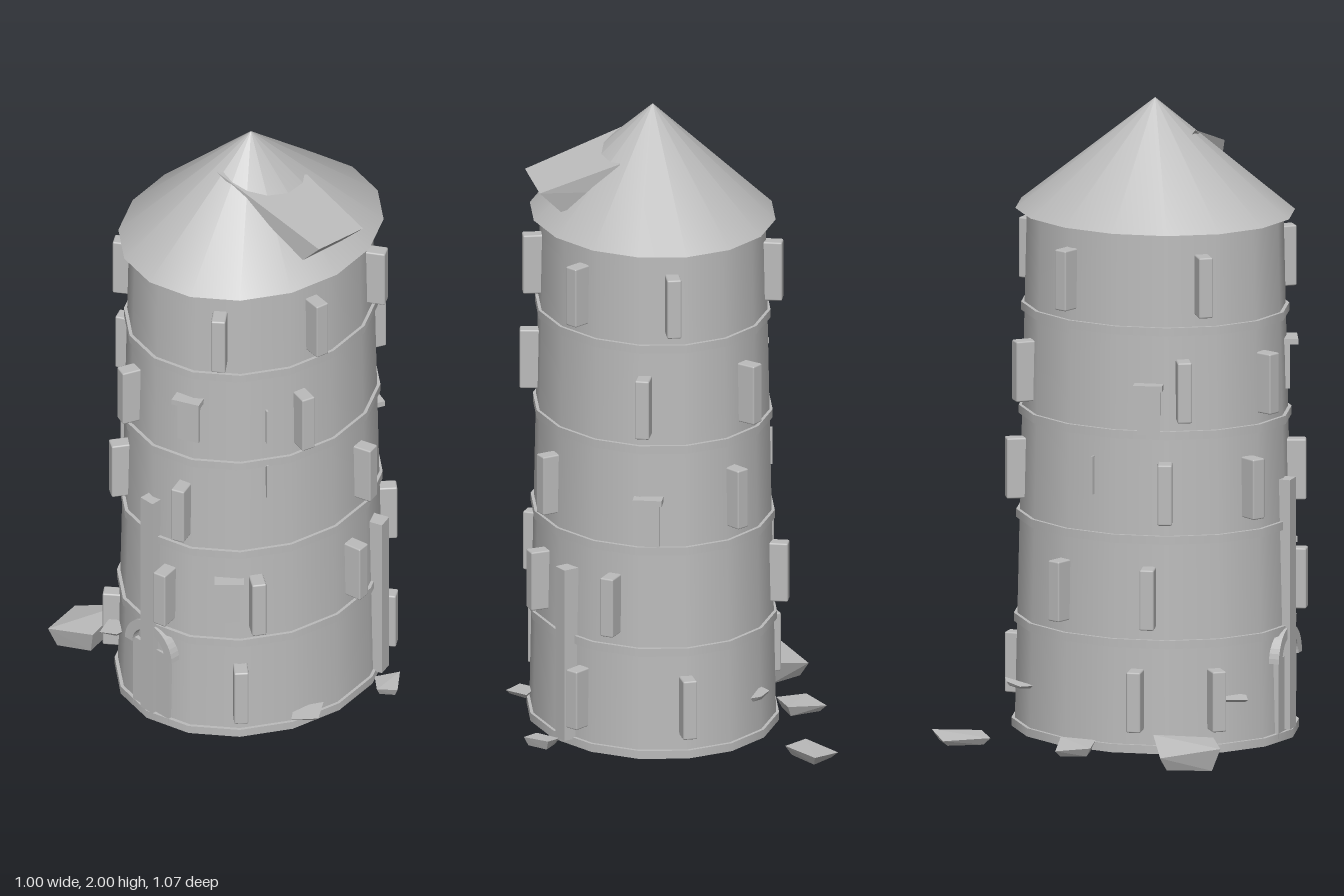
import * as THREE from 'three';
import { RoundedBoxGeometry } from 'three/addons/geometries/RoundedBoxGeometry.js';
import { ConvexGeometry } from 'three/addons/geometries/ConvexGeometry.js';

const CX = 0.047, CZ = 0.055, OVAL = 1.165, SIDES = 16;
const radiusAt = (y) => 0.378 - 0.02 * y;

export function createModel() {
  const model = new THREE.Group();
  model.name = 'ruinedTower';
  const stone = new THREE.MeshStandardMaterial({ color: 0xbbbbbb });
  stone.name = 'grey stone';

  const add = (name, geometry, x = 0, y = 0, z = 0) => {
    const mesh = new THREE.Mesh(geometry, stone);
    mesh.name = name;
    mesh.position.set(x, y, z);
    model.add(mesh);
    return mesh;
  };

  // Oval drum standing on y0
  const drum = (name, rTop, rBottom, y0, y1) => {
    const g = new THREE.CylinderGeometry(rTop, rBottom, y1 - y0, SIDES);
    g.scale(1, 1, OVAL);
    return add(name, g, CX, (y0 + y1) / 2, CZ);
  };

  // Puts a part on the wall; angle runs from +x (0) to +z (90)
  const onWall = (name, geometry, deg, y, out) => {
    const a = THREE.MathUtils.degToRad(deg), r = radiusAt(y) * 0.99;
    const n = new THREE.Vector3(Math.cos(a) * OVAL, 0, Math.sin(a)).normalize();
    const mesh = add(name, geometry,
      CX + r * Math.cos(a) + n.x * out, y, CZ + r * OVAL * Math.sin(a) + n.z * out);
    mesh.rotation.y = Math.atan2(n.x, n.z);
    return mesh;
  };

  const hull = (name, points) => {
    const g = new ConvexGeometry(points.map((p) => new THREE.Vector3(...p)));
    return add(name, g);
  };

  // Storeys with a ledge below each
  const levels = [0.02, 0.35, 0.677, 1.005, 1.33, 1.65];
  for (let i = 0; i < 5; i++) {
    const y0 = levels[i], y1 = levels[i + 1];
    drum('storeyWall', radiusAt(y1), radiusAt(y0), y0, y1);
    const r = radiusAt(y0) + 0.009;
    drum('ledge', r, r, y0, y0 + 0.026);
  }

  // Roof
  drum('roofCone', 0.0005, 0.376, 1.65, 2.0);
  hull('brokenRoofSlab', [
    [0.035, 1.91, 0.192], [0.43, 1.79, 0.14], [0.43, 1.775, -0.05], [0.18, 1.85, -0.055],
    [0.03, 1.895, 0.18], [0.37, 1.725, 0.15], [0.36, 1.705, -0.04], [0.18, 1.76, -0.05],
  ]);

  // Projecting blocks, by storey
  const blocks = [
    [0.188, [45, 137, 170, 270, 321]],
    [0.51, [38, 80, 165, 204, 305, 350]],
    [0.84, [72, 118, 158, 244, 342]],
    [1.16, [17, 108, 150, 234, 290]],
    [1.487, [10, 55, 141, 203, 276, 324]],
  ];
  const blockShape = new RoundedBoxGeometry(0.045, 0.19, 0.07, 1, 0.005);
  for (const [y, angles] of blocks) {
    for (const deg of angles) onWall('wallBlock', blockShape, deg, y, 0.019);
  }

  // Windows with lintels
  const windows = [[50, 0.51], [70, 1.165], [288, 0.775], [165, 1.09]];
  for (const [deg, y] of windows) {
    onWall('windowPanel', new THREE.BoxGeometry(0.07, 0.14, 0.02), deg, y, 0);
    onWall('windowLintel', new THREE.BoxGeometry(0.09, 0.018, 0.05), deg, y + 0.08, 0.012);
  }
  for (const [deg, y, h] of [[33, 1.15, 0.12], [33, 0.95, 0.12], [190, 0.88, 0.12]]) {
    onWall('arrowSlit', new THREE.BoxGeometry(0.006, h, 0.03), deg, y, -0.006);
  }

  // Door and arch
  add('door', new THREE.BoxGeometry(0.155, 0.25, 0.06), CX, 0.155, 0.458);
  const arch = new THREE.Shape();
  arch.absarc(0, 0, 0.102, 0, Math.PI, false);
  arch.absarc(0, 0, 0.07, Math.PI, 0, true);
  arch.closePath();
  const archShape = new THREE.ExtrudeGeometry(arch,
    { depth: 0.06, bevelEnabled: false, curveSegments: 10 });
  add('doorArch', archShape, CX, 0.27, 0.438);

  // Upright posts
  add('frontPost', new THREE.BoxGeometry(0.052, 0.785, 0.07), CX, 0.4425, 0.471);
  const sidePost = onWall('sidePost', new THREE.BoxGeometry(0.05, 0.555, 0.06), 329, 0.3175, 0.008);
  sidePost.rotation.y = 1.9;

  // Fallen stones around the foot: outline on the ground, low and high side
  const rubble = [
    [[[-0.41, -0.47], [-0.32, -0.54], [-0.26, -0.4], [-0.34, -0.34]], 0.01, 0.045],
    [[[-0.47, -0.08], [-0.34, -0.11], [-0.33, 0], [-0.43, 0.02]], 0.02, 0.06],
    [[[-0.5, 0.275], [-0.36, 0.2], [-0.315, 0.38], [-0.44, 0.45]], 0.01, 0.095],
    [[[0.39, -0.14], [0.44, -0.2], [0.5, -0.13], [0.45, -0.09]], 0.01, 0.045],
    [[[0.38, 0.2], [0.43, 0.12], [0.478, 0.19], [0.42, 0.25]], 0.065, 0.085],
    [[[-0.24, 0.38], [-0.15, 0.36], [-0.16, 0.43], [-0.21, 0.455]], 0.18, 0.2],
    [[[-0.22, -0.24], [-0.16, -0.36], [-0.2, -0.34], [-0.24, -0.28]], 0.17, 0.19],
    [[[-0.06, 0.2], [0.02, 0.18], [0.03, 0.24], [-0.04, 0.25]], 0, 0.03],
    [[[0.18, -0.06], [0.25, -0.08], [0.27, -0.02], [0.2, 0]], 0.005, 0.03],
    [[[0.25, -0.22], [0.31, -0.24], [0.33, -0.18], [0.27, -0.17]], 0.005, 0.03],
  ];
  for (const [outline, low, high] of rubble) {
    const mx = outline.reduce((s, p) => s + p[0], 0) / 4;
    const mz = outline.reduce((s, p) => s + p[1], 0) / 4;
    const points = [];
    outline.forEach(([x, z], i) => {
      const top = i === 0 ? low + (high - low) * 0.5 : high - 0.004 * i;
      points.push([x, top, z]);
      points.push([mx + (x - mx) * 0.75, low, mz + (z - mz) * 0.75]);
    });
    hull('fallenStone', points);
  }
  return model;
}
